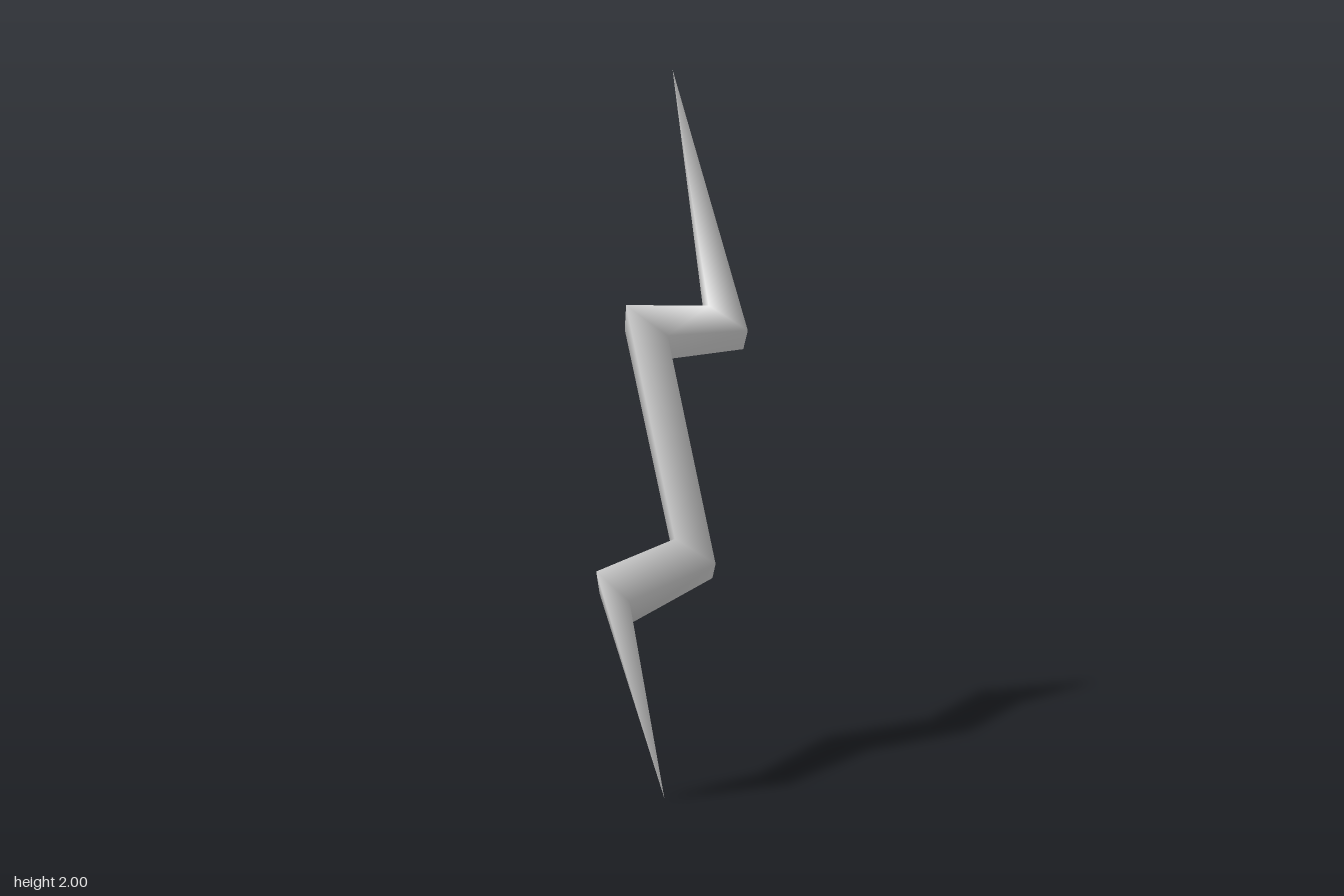
import * as THREE from 'three';

// Bends of the bolt from top to bottom:
// [left edge x, y, right edge x, y, half depth]
const BENDS = [
  [0, 2, 0, 2, 0],
  [0.152, 1.37, 0.306, 1.23, 0.075],
  [-0.185, 1.41, -0.03, 1.247, 0.074],
  [0.01, 0.745, 0.174, 0.595, 0.077],
  [-0.308, 0.725, -0.168, 0.55, 0.053],
  [-0.035, 0, -0.035, 0, 0],
];

// Diamond cross-sections joined by quads, closing to a point at each end
function boltGeometry() {
  const positions = [];
  const index = [];
  for (const [lx, ly, rx, ry, d] of BENDS) {
    const mx = (lx + rx) / 2;
    const my = (ly + ry) / 2;
    positions.push(lx, ly, 0, mx, my, d, rx, ry, 0, mx, my, -d);
  }
  const last = BENDS.length - 2;
  for (let i = 0; i <= last; i++) {
    for (let j = 0; j < 4; j++) {
      const a = i * 4 + j;
      const b = i * 4 + ((j + 1) % 4);
      if (i < last) index.push(a, a + 4, b + 4);
      else index.push(a, a + 4, b);
      if (i > 0 && i < last) index.push(a, b + 4, b);
    }
  }
  const geometry = new THREE.BufferGeometry();
  geometry.setAttribute('position', new THREE.Float32BufferAttribute(positions, 3));
  geometry.setIndex(index);
  geometry.computeVertexNormals();
  return geometry;
}

export function createModel() {
  const group = new THREE.Group();
  group.name = 'lightningBolt';
  const bolt = new THREE.Mesh(
    boltGeometry(),
    new THREE.MeshStandardMaterial({ color: 0xcccccc })
  );
  bolt.name = 'bolt';
  group.add(bolt);
  return group;
}
